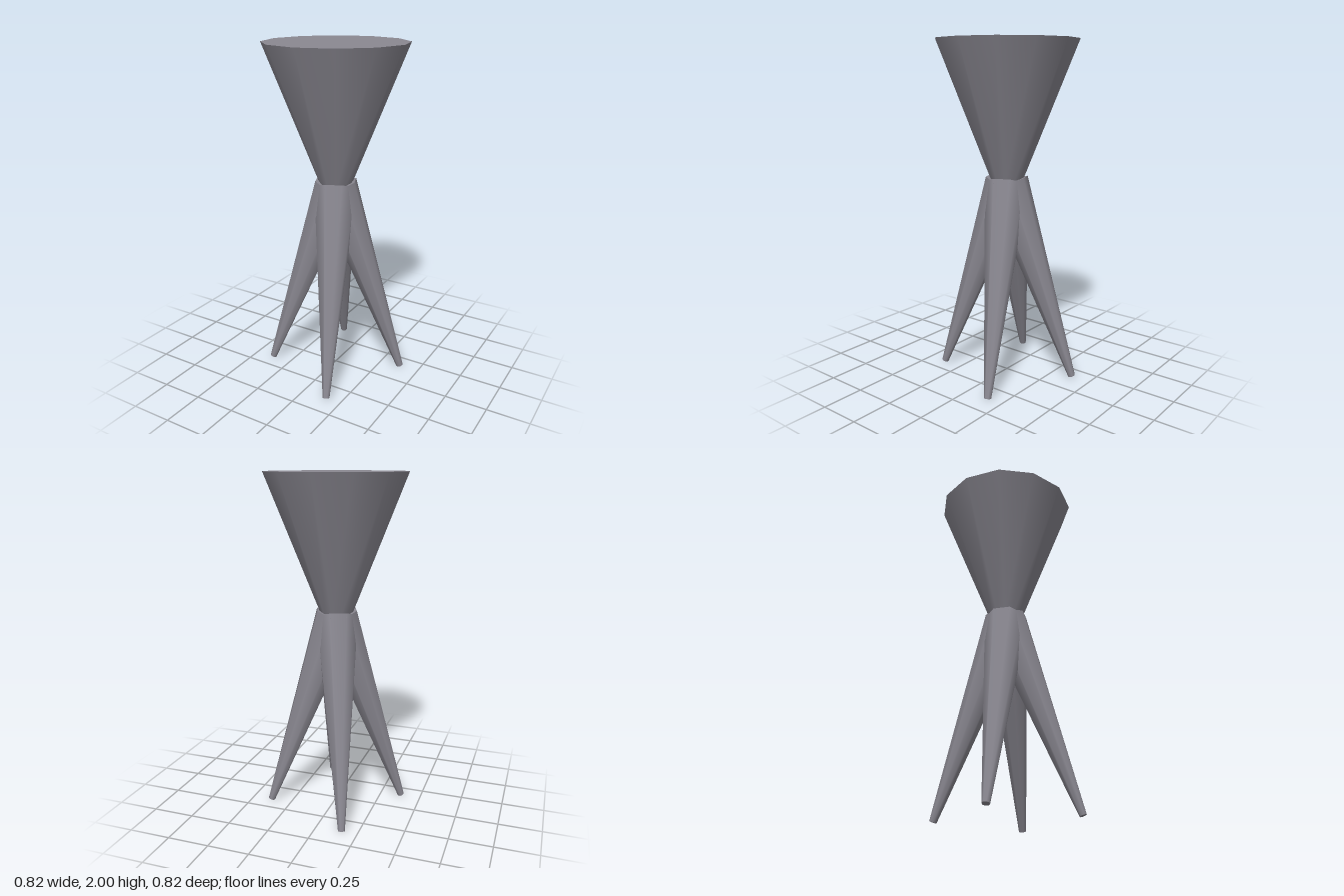
import * as THREE from 'three';

export function createModel() {
  const group = new THREE.Group();
  const grey = new THREE.MeshStandardMaterial({ color: 0x8a8891 });
  grey.name = 'warm grey';

  // Flared twelve-sided top, its narrow end sunk between the legs
  const topHeight = 0.83;
  const top = new THREE.Mesh(new THREE.CylinderGeometry(0.412, 0.084, topHeight, 12), grey);
  top.name = 'conicalTop';
  top.position.y = 2 - topHeight / 2;
  group.add(top);

  // Four tapered legs leaning out from a shared hub, each twisted to one side
  const hub = new THREE.Vector3(0, 1.18, 0);
  const foot = new THREE.Vector3(0.157, 0.007, 0.378);
  const axis = hub.clone().sub(foot);
  const legGeometry = new THREE.CylinderGeometry(0.13, 0.021, axis.length(), 8);
  const tilt = new THREE.Quaternion().setFromUnitVectors(
    new THREE.Vector3(0, 1, 0), axis.clone().normalize());
  const names = ['frontLeg', 'leftLeg', 'backLeg', 'rightLeg'];
  names.forEach((name, i) => {
    const pivot = new THREE.Group();
    pivot.name = name;
    pivot.rotation.y = i * Math.PI / 2;
    const leg = new THREE.Mesh(legGeometry, grey);
    leg.name = name + 'Shaft';
    leg.position.copy(hub).add(foot).multiplyScalar(0.5);
    leg.quaternion.copy(tilt);
    pivot.add(leg);
    group.add(pivot);
  });
  return group;
}
